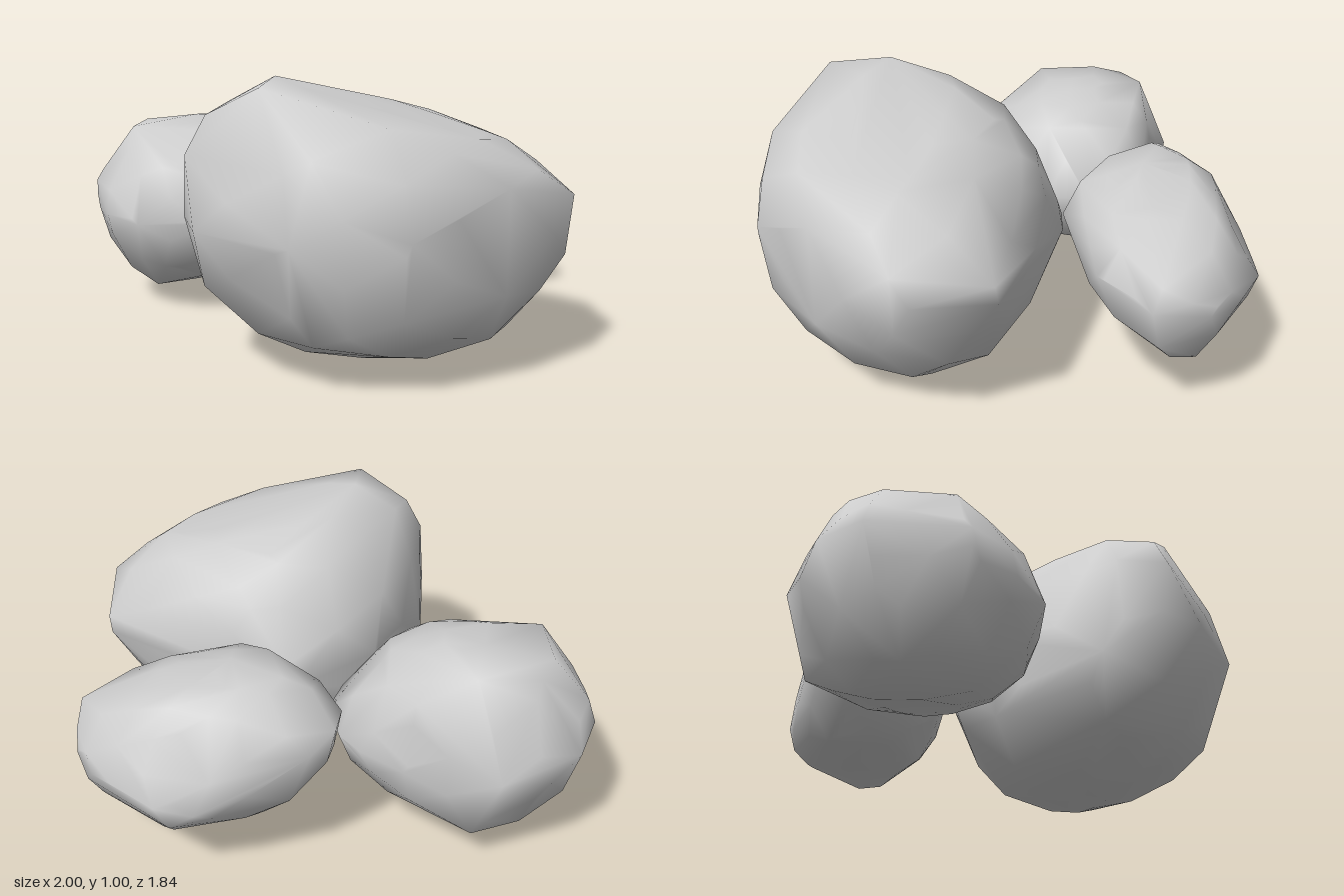
import * as THREE from 'three';
import { ConvexGeometry } from 'three/addons/geometries/ConvexGeometry.js';
import { mergeVertices } from 'three/addons/utils/BufferGeometryUtils.js';

const range = (values) => [Math.min(...values), Math.max(...values)];

// Extent of an outline along its other axis where the given axis has this value
function span(outline, axis, value) {
  const [lo, hi] = range(outline.map((p) => p[axis]));
  const v = THREE.MathUtils.clamp(value, lo, hi);
  const hits = [];
  outline.forEach((a, i) => {
    const b = outline[(i + 1) % outline.length];
    const da = a[axis] - v, db = b[axis] - v;
    if (da === 0) hits.push(a[1 - axis]);
    if (da * db < 0) hits.push(a[1 - axis] + (b[1 - axis] - a[1 - axis]) * da / (da - db));
  });
  return range(hits);
}

// Middle of the overlap of two extents
const middle = (s, t) => (Math.max(s[0], t[0]) + Math.min(s[1], t[1])) / 2;

// How far a direction (u, v) reaches toward the outline: 1 on the outline
function gauge(outline, cu, cv, u, v) {
  let g = 0;
  outline.forEach((a, i) => {
    const b = outline[(i + 1) % outline.length];
    const nu = b[1] - a[1], nv = a[0] - b[0];
    const h = nu * (a[0] - cu) + nv * (a[1] - cv);
    g = Math.max(g, (nu * u + nv * v) / h);
  });
  return g;
}

// A rounded stone from its front (x, y), side (z, y) and plan (x, z) outlines and a few blunt corners
function makeRock(name, material, front, side, plan, corners) {
  const mid = (outline, k) => { const r = range(outline.map((p) => p[k])); return (r[0] + r[1]) / 2; };
  const c = new THREE.Vector3(mid(front, 0), mid(front, 1), mid(side, 0));
  const points = corners.map((p) => new THREE.Vector3(...p));

  // Outline corners, each set at the middle of its available depth
  for (const [x, y] of front) points.push(new THREE.Vector3(x, y, middle(span(plan, 0, x), span(side, 1, y))));
  for (const [z, y] of side) points.push(new THREE.Vector3(middle(span(plan, 1, z), span(front, 1, y)), y, z));
  for (const [x, z] of plan) points.push(new THREE.Vector3(x, middle(span(front, 0, x), span(side, 0, z)), z));

  // Rounded body between the outlines
  const ball = new THREE.IcosahedronGeometry(1, 2);
  ball.deleteAttribute('normal');
  ball.deleteAttribute('uv');
  const dirs = mergeVertices(ball).attributes.position;
  for (let i = 0; i < dirs.count; i++) {
    const d = new THREE.Vector3().fromBufferAttribute(dirs, i);
    const f = gauge(front, c.x, c.y, d.x, d.y);
    const s = gauge(side, c.z, c.y, d.z, d.y);
    const p = gauge(plan, c.x, c.z, d.x, d.z);
    const g = Math.max(f, s, p, 0.98 * Math.sqrt((f * f + s * s + p * p) / 2));
    points.push(d.divideScalar(g).add(c));
  }

  // Convex skin with smooth normals
  const hull = new ConvexGeometry(points);
  hull.deleteAttribute('normal');
  const smooth = mergeVertices(hull, 1e-4);
  smooth.computeVertexNormals();
  const mesh = new THREE.Mesh(smooth, material);
  mesh.name = name;
  return mesh;
}

export function createModel() {
  const group = new THREE.Group();
  group.name = 'rocks';
  const stone = new THREE.MeshStandardMaterial({ color: 0xcccccc });
  stone.name = 'stone grey';

  group.add(makeRock('largeRock', stone,
    [[0, 1], [-0.17, 0.91], [-0.27, 0.76], [-0.3, 0.37], [-0.19, 0.15], [0.05, 0.02], [0.3, 0], [0.54, 0.02],
      [0.79, 0.12], [0.98, 0.4], [1, 0.61], [0.77, 0.79]],
    [[0.45, 1], [0.68, 0.98], [0.85, 0.78], [0.92, 0.52], [0.79, 0.17], [0.4, 0], [0, 0.03], [-0.11, 0.16],
      [-0.22, 0.42], [-0.13, 0.7], [0, 0.84], [0.22, 0.95]],
    [[0.1, -0.21], [0.23, -0.22], [0.9, -0.05], [1, 0.27], [0.95, 0.43], [0.55, 0.83], [0.19, 0.92],
      [-0.18, 0.77], [-0.27, 0.63], [-0.3, 0.4], [-0.17, 0]],
    [[-0.19, 0.88, 0.62], [-0.25, 0.75, 0.66], [0.88, 0.24, 0.12], [0.72, 0.09, 0.2], [0.91, 0.55, -0.04],
      [0.47, 0.86, 0.08], [0.15, 0.08, 0.6], [-0.13, 0.2, 0], [0, 0.05, 0.06]]));

  group.add(makeRock('mediumRock', stone,
    [[-0.84, 0.73], [-0.6, 0.76], [-0.46, 0.75], [-0.27, 0.67], [-0.05, 0.42], [-0.2, 0.18], [-0.69, 0.04],
      [-0.85, 0.1], [-0.95, 0.3], [-1, 0.51], [-0.97, 0.59]],
    [[-0.12, 0.74], [-0.31, 0.76], [-0.51, 0.74], [-0.64, 0.42], [-0.58, 0.15], [-0.34, 0.05], [-0.18, 0.04],
      [-0.02, 0.07], [0.14, 0.2], [0.21, 0.38], [0.13, 0.6]],
    [[-0.71, -0.64], [-0.37, -0.57], [-0.2, -0.5], [-0.12, -0.45], [-0.05, -0.31], [-0.07, -0.14],
      [-0.34, 0.14], [-0.65, 0.21], [-0.82, 0.13], [-0.93, 0], [-1, -0.33], [-0.96, -0.48], [-0.87, -0.55]],
    [[-0.79, 0.73, -0.07], [-0.93, 0.51, 0], [-0.7, 0.06, -0.4], [-0.65, 0.1, -0.48], [-0.8, 0.72, -0.43],
      [-0.55, 0.71, -0.5], [-0.4, 0.63, -0.54]]));

  group.add(makeRock('smallRock', stone,
    [[-0.15, 0.57], [-0.05, 0.67], [0.05, 0.7], [0.25, 0.71], [0.5, 0.65], [0.8, 0.51], [0.83, 0.43],
      [0.8, 0.29], [0.7, 0.2], [0.4, 0.19], [0.1, 0.21], [-0.05, 0.33], [-0.13, 0.46]],
    [[-0.22, 0.51], [-0.28, 0.64], [-0.5, 0.71], [-0.66, 0.7], [-0.76, 0.64], [-0.92, 0.36], [-0.9, 0.27],
      [-0.84, 0.21], [-0.68, 0.19], [-0.43, 0.23], [-0.3, 0.36]],
    [[-0.15, -0.65], [-0.14, -0.5], [0.16, -0.26], [0.28, -0.23], [0.63, -0.35], [0.83, -0.53],
      [0.76, -0.72], [0.67, -0.81], [0.41, -0.92], [0.28, -0.9], [-0.08, -0.73]],
    [[0.1, 0.22, -0.68], [0.42, 0.21, -0.83], [0.74, 0.42, -0.74], [0.15, 0.69, -0.38], [0, 0.69, -0.54],
      [0.74, 0.22, -0.6], [-0.05, 0.63, -0.45]]));
  return group;
}
